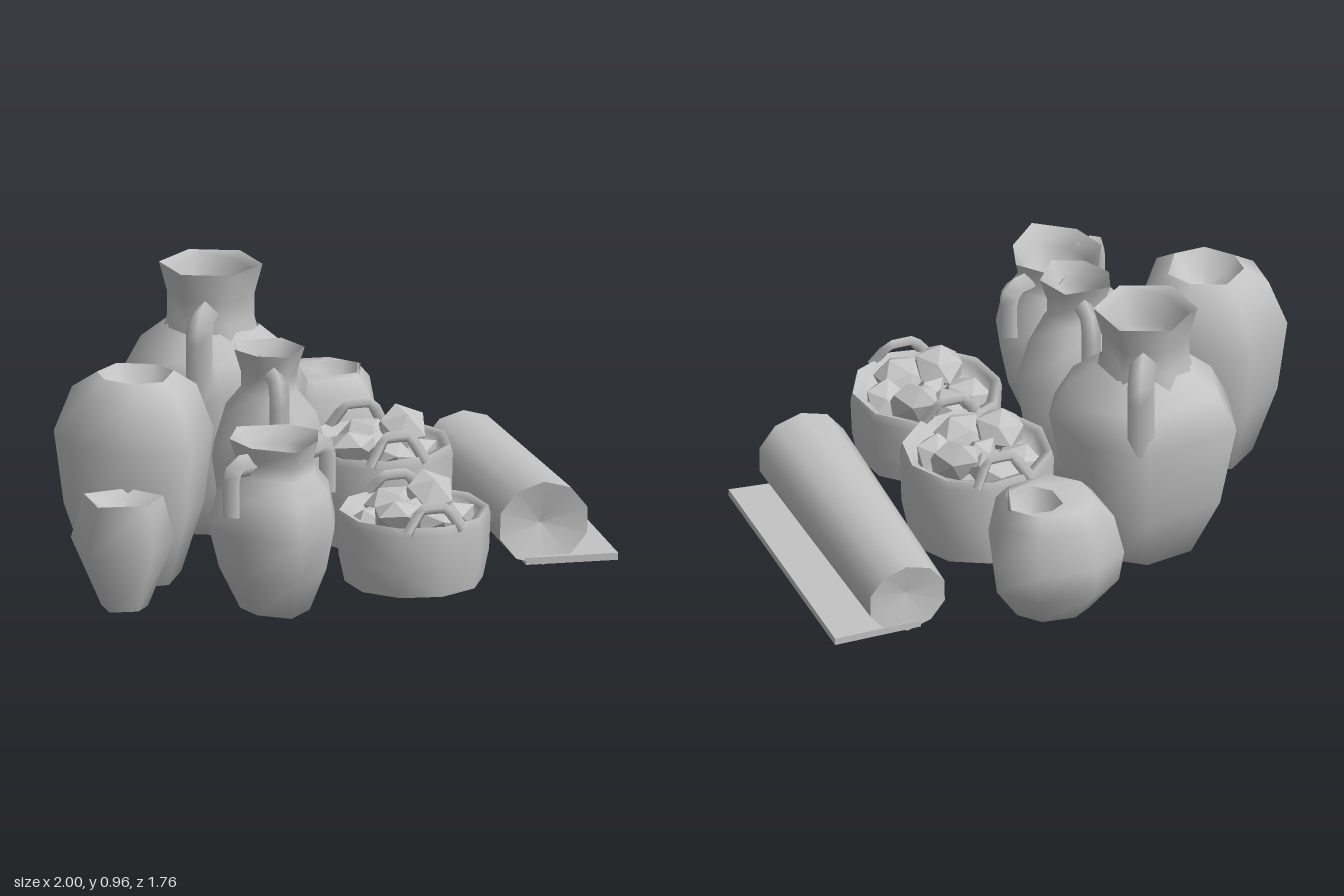
import * as THREE from 'three';

const clay = new THREE.MeshStandardMaterial({ color: 0xc4c4c4, side: THREE.DoubleSide });
clay.name = 'pale grey clay';

// Skin a list of closed rings (equal point counts); repeat a ring for a sharp edge
function loft(name, rings) {
  const n = rings[0].length, pos = [], idx = [];
  rings.forEach(r => r.forEach(p => pos.push(...p)));
  for (let k = 0; k < rings.length - 1; k++)
    for (let i = 0; i < n; i++) {
      const a = k * n + i, b = k * n + (i + 1) % n;
      idx.push(a, a + n, b, b, a + n, b + n);
    }
  const g = new THREE.BufferGeometry();
  g.setAttribute('position', new THREE.Float32BufferAttribute(pos, 3));
  g.setIndex(idx);
  g.computeVertexNormals();
  const m = new THREE.Mesh(g, clay);
  m.name = name;
  return m;
}

// Vessel from its widest outline [x, z] and a profile of [scale, y, sideways shift]
function vessel(name, [cx, cz], outline, profile) {
  return loft(name, profile.map(([s, y, dx = 0]) =>
    outline.map(([x, z]) => [cx + dx + (x - cx) * s, y, cz + (z - cz) * s])));
}

const circle = (cx, cz, r, n, phase = 0) => Array.from({ length: n }, (_, i) => {
  const a = phase - i / n * Math.PI * 2;
  return [cx + r * Math.cos(a), cz + r * Math.sin(a)];
});

// Bent strap handle following a few points, with a four-sided section
function handle(name, points, r) {
  const curve = new THREE.CatmullRomCurve3(points.map(p => new THREE.Vector3(...p)), false, 'catmullrom', 0.1);
  const m = new THREE.Mesh(new THREE.TubeGeometry(curve, 8, r, 4), clay);
  m.name = name;
  return m;
}

// Two handles on opposite sides of a neck; path is [distance, y]
function handlePair(name, [cx, cz], [dx, dz], path, r) {
  const g = new THREE.Group(), len = Math.hypot(dx, dz);
  g.name = name;
  for (const s of [1, -1])
    g.add(handle('strapHandle', path.map(([d, y]) => [cx + s * d * dx / len, y, cz + s * d * dz / len]), r));
  return g;
}

// Round basket with end lugs leaning inward and chunky contents
function basket(name, cx, cz, r, top, lug, phase) {
  const g = new THREE.Group();
  g.name = name;
  g.add(vessel('basketBowl', [cx, cz], circle(cx, cz, r, 10, phase), [
    [0, 0.04], [0.9, 0.04], [0.9, 0.04], [0.98, 0.14], [1, top - 0.03], [0.97, top],
    [0.97, top], [0.86, top - 0.01], [0.8, top - 0.07], [0, top - 0.07]]));
  for (const s of [1, -1]) {
    const z = cz + s * r * 0.9, zTop = cz + s * r * 0.8;
    g.add(handle('basketLug', [[cx - 0.1, top - 0.02, z], [cx - 0.04, lug, zTop], [cx + 0.05, lug, zTop], [cx + 0.1, top - 0.02, z]], 0.02));
  }
  for (let i = 0; i < 7; i++) {
    const lump = new THREE.Mesh(new THREE.IcosahedronGeometry(0.095, 0), clay);
    const a = i * Math.PI / 3 + phase, d = i === 6 ? 0 : r * 0.5;
    lump.position.set(cx + d * Math.cos(a), top - 0.055 + 0.03 * (i % 3), cz + d * Math.sin(a));
    lump.scale.y = 0.65;
    lump.rotation.set(i * 0.3 - 0.8, i * 2.1, 0.4 - i * 0.17);
    lump.name = 'basketContents';
    g.add(lump);
  }
  return g;
}

export function createModel() {
  const root = new THREE.Group();
  root.name = 'potteryGroup';

  // Tall two-handled amphora at the back
  const a = [-0.25, -0.4];
  root.add(vessel('tallAmphoraBody', a,
    [[-0.56, -0.38], [-0.49, -0.63], [-0.14, -0.69], [0.03, -0.55], [0.06, -0.28], [-0.02, -0.15], [-0.31, -0.11], [-0.5, -0.2]],
    [[0, 0.03], [0.5, 0.035], [0.82, 0.25], [1, 0.55], [0.8, 0.67], [0.5, 0.75]]));
  root.add(vessel('tallAmphoraNeck', a, circle(...a, 0.2, 6, 0.4),
    [[0.85, 0.7], [0.75, 0.78], [0.75, 0.86], [0.89, 0.965], [0.89, 0.965], [0.72, 0.94], [0.6, 0.84], [0.5, 0.76], [0, 0.76]]));
  root.add(handlePair('tallAmphoraHandles', a, [0.25, -0.5],
    [[0.12, 0.82], [0.25, 0.82], [0.27, 0.78], [0.265, 0.55]], 0.046));

  // Broad storage jar on the model's right
  root.add(vessel('storageJar', [-0.68, 0.1],
    [[-0.74, -0.18], [-0.5, -0.07], [-0.41, 0.12], [-0.57, 0.37], [-0.8, 0.37], [-0.95, 0.18], [-0.94, -0.02]],
    [[0, 0.03], [0.58, 0.035], [0.88, 0.28], [1, 0.54], [0.78, 0.7], [0.48, 0.755], [0.48, 0.755], [0.34, 0.7], [0, 0.66]]));

  // Slim vase in the middle
  const c = [-0.22, 0.14];
  root.add(vessel('slimVase', c,
    [[-0.35, -0.06], [-0.08, -0.04], [-0.01, 0.17], [-0.16, 0.35], [-0.33, 0.27], [-0.41, 0.1]],
    [[0, 0.03], [0.5, 0.035], [0.85, 0.22], [1, 0.43], [0.78, 0.58], [0.48, 0.66], [0.48, 0.73], [0.6, 0.81],
      [0.6, 0.81], [0.42, 0.74], [0.32, 0.66], [0, 0.65]]));
  root.add(handlePair('slimVaseHandles', c, [-0.1, 1],
    [[0.08, 0.735], [0.16, 0.735], [0.18, 0.69], [0.175, 0.48]], 0.035));

  // Front vase with shoulder handles
  const e = [-0.33, 0.6];
  root.add(vessel('frontVase', e,
    [[-0.47, 0.36], [-0.22, 0.4], [-0.11, 0.54], [-0.17, 0.72], [-0.34, 0.88], [-0.52, 0.74], [-0.57, 0.55]],
    [[0, 0.005], [0.55, 0.03], [0.85, 0.18], [1, 0.33], [0.88, 0.45], [0.62, 0.52], [0.62, 0.57], [0.7, 0.635],
      [0.7, 0.635], [0.52, 0.58], [0.45, 0.5], [0, 0.48]]));
  root.add(handlePair('frontVaseHandles', e, [0.43, -0.2],
    [[0.13, 0.565], [0.2, 0.57], [0.225, 0.54], [0.225, 0.4]], 0.04));

  // Small pot in the front corner
  root.add(vessel('smallPot', [-0.83, 0.44],
    [[-0.99, 0.32], [-0.78, 0.3], [-0.66, 0.46], [-0.78, 0.59], [-1, 0.55]],
    [[0, 0.02], [0.45, 0.03], [1, 0.26], [0.76, 0.42], [0.76, 0.42], [0.5, 0.39], [0, 0.36]]));

  // Round pot at the back, its mouth set to one side
  root.add(vessel('roundPot', [0.23, -0.66],
    [[0, -0.8], [0.13, -0.88], [0.34, -0.85], [0.45, -0.71], [0.37, -0.48], [0.13, -0.44], [0, -0.58]],
    [[0, 0.03], [0.55, 0.04], [0.93, 0.16], [1, 0.27], [0.87, 0.41], [0.66, 0.465], [0.42, 0.465, 0.06],
      [0.42, 0.465, 0.06], [0.32, 0.4, 0.06], [0, 0.36, 0.06]]));

  // Two baskets
  root.add(basket('frontBasket', 0.2, 0.46, 0.265, 0.295, 0.35, 0.2));
  root.add(basket('rearBasket', 0.25, -0.1, 0.265, 0.37, 0.44, 0.5));

  // Rolled cloth with its loose edge lying flat
  const ring = (cx, z, rx, ry) => circle(0, 0, 1, 10, 0.3)
    .map(([x, y]) => [cx + x * rx, 0.03 + ry + y * ry, z]);
  const hub = (x, z) => Array(10).fill([x, 0.17, z]);
  const front = ring(0.685, 0.41, 0.165, 0.148), back = ring(0.73, -0.62, 0.145, 0.126);
  root.add(loft('clothRoll', [hub(0.685, 0.37), front, front, back, back, hub(0.73, -0.6)]));
  const flap = new THREE.BoxGeometry(1, 0.025, 1), p = flap.attributes.position;
  for (let i = 0; i < p.count; i++) {
    const right = p.getX(i) > 0, near = p.getZ(i) > 0;
    p.setXYZ(i, near ? (right ? 0.94 : 0.62) : (right ? 1 : 0.68), p.getY(i) + 0.047, near ? (right ? 0.45 : 0.41) : -0.62);
  }
  flap.computeVertexNormals();
  const flapMesh = new THREE.Mesh(flap, clay);
  flapMesh.name = 'clothFlap';
  root.add(flapMesh);
  return root;
}
